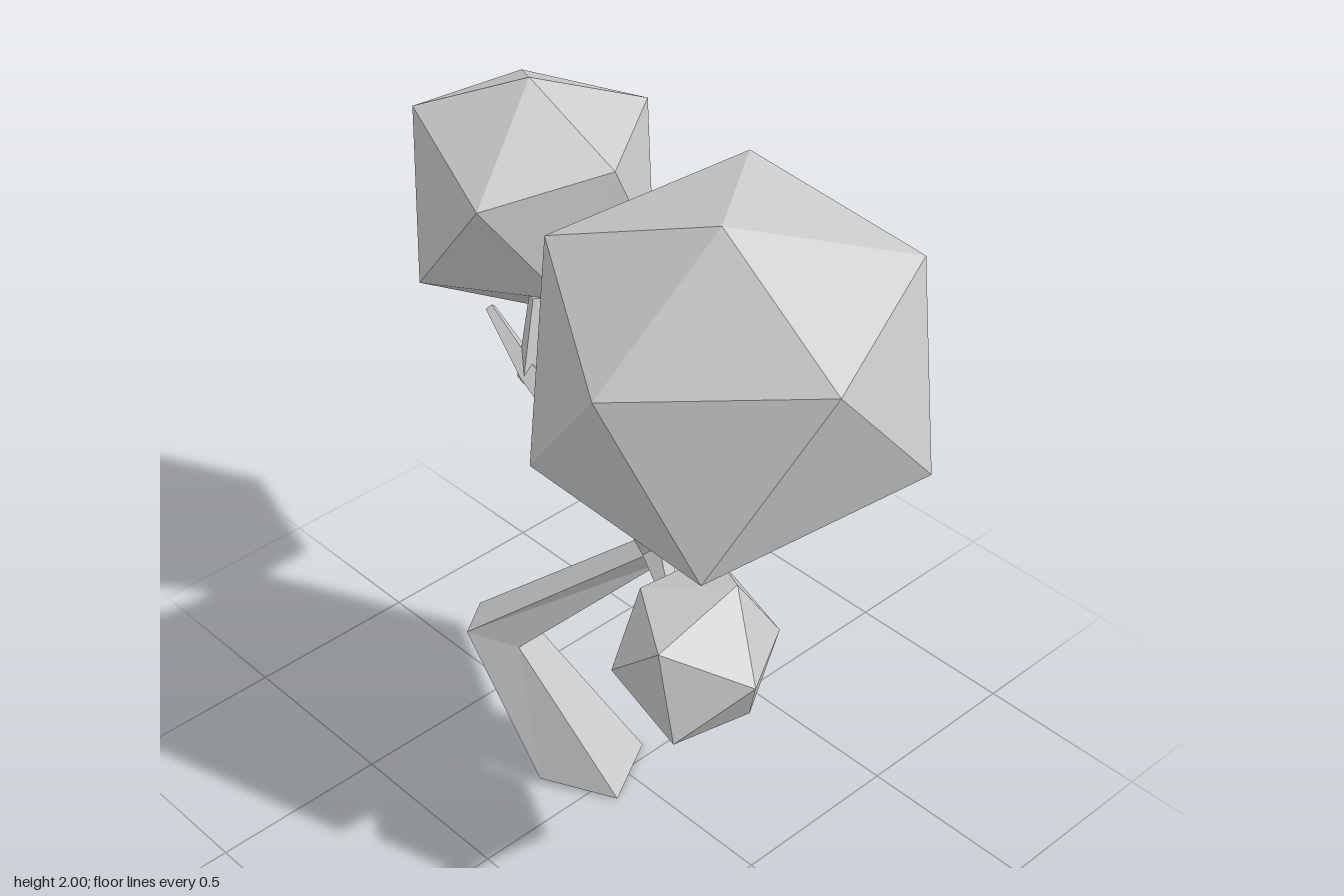
import * as THREE from 'three';
import { ConvexGeometry } from 'three/addons/geometries/ConvexGeometry.js';

const material = new THREE.MeshStandardMaterial({ color: 0xcccccc, flatShading: true });
const V = (x, y, z) => new THREE.Vector3(x, y, z);

// Skin over four-cornered rings, capped at both ends
function loft(rings) {
  const pts = [];
  const quad = (a, b, c, d) => pts.push(a, b, c, a, c, d);
  for (let k = 0; k < rings.length - 1; k++) {
    const lo = rings[k], hi = rings[k + 1];
    for (let i = 0; i < 4; i++) {
      const j = (i + 1) % 4;
      quad(lo[i], lo[j], hi[j], hi[i]);
    }
  }
  const [p, q, r, s] = rings[0];
  quad(s, r, q, p);
  quad(...rings[rings.length - 1]);
  const geometry = new THREE.BufferGeometry().setFromPoints(pts);
  geometry.computeVertexNormals();
  return geometry;
}

// Tapering four-sided branch along [x, y, z, radius] stations
function branch(stations) {
  const centres = stations.map(([x, y, z]) => V(x, y, z));
  return loft(stations.map(([, , , r], i) => {
    const next = centres[Math.min(i + 1, centres.length - 1)];
    const prev = centres[Math.max(i - 1, 0)];
    const t = next.clone().sub(prev).normalize();
    const u = t.clone().cross(V(0, 1, 0)).normalize();
    const w = t.clone().cross(u);
    return [[u, r], [w, r], [u, -r], [w, -r]].map(([d, s]) =>
      centres[i].clone().addScaledVector(d, s));
  }));
}

export function createModel() {
  const tree = new THREE.Group();
  tree.name = 'tree';
  const add = (name, geometry) => {
    const mesh = new THREE.Mesh(geometry, material);
    mesh.name = name;
    tree.add(mesh);
  };

  // Crooked trunk: ground, knee, lower fork, upper fork
  // (corners run front, left, back, right in each ring)
  const trunkRings = [
    [[-0.12, 0.02, 0.206], [0.07, 0, 0.09], [-0.04, 0, -0.11], [-0.23, 0.01, 0.006]],
    [[-0.325, 0.466, 0.275], [-0.204, 0.44, 0.196], [-0.27, 0.44, 0.095], [-0.394, 0.466, 0.17]],
    [[0.1, 0.84, 0.025], [0.125, 0.81, -0.02], [0.077, 0.785, -0.08], [0.047, 0.845, -0.04]],
    [[0.1, 1.09, 0.14], [0.14, 1.065, 0.1], [0.1, 1.07, 0.07], [0.06, 1.11, 0.1]],
  ];
  add('trunk', loft(trunkRings.map((ring) => ring.map((p) => V(...p)))));

  // Branches and twigs
  add('longBranch', branch([[0.1, 1.085, 0.105, 0.038], [-0.29, 1.22, 0.05, 0.034], [-0.47, 1.33, 0.03, 0.014]]));
  add('upperTwig', branch([[-0.3, 1.2, 0.05, 0.035], [-0.32, 1.42, 0, 0.022]]));
  add('mainBranch', branch([[0.09, 1.075, 0.105, 0.038], [0.38, 1.26, 0.02, 0.03]]));
  add('lowBranch', branch([[0.09, 0.84, -0.03, 0.045], [0.33, 0.88, 0.15, 0.012]]));

  // Faceted leaf crowns, each a slightly irregular twenty-sided solid
  const crowns = {
    mainCrown: [
      [0.43, 2, 0.11], [0.85, 1.785, 0.166], [0.835, 1.397, -0.184], [0.665, 1.286, 0.386],
      [0.357, 1.154, -0.005], [0.11, 1.328, 0.405], [-0.07, 1.418, -0.115], [-0.01, 1.835, 0.239],
      [0.13, 1.915, -0.285], [0.388, 1.677, 0.458], [0.368, 1.455, -0.458], [0.667, 1.857, -0.305],
    ],
    rightCrown: [
      [-0.505, 1.91, -0.152], [-0.183, 1.78, -0.143], [-0.24, 1.45, -0.33], [-0.505, 1.24, -0.15],
      [-0.855, 1.48, -0.184], [-0.78, 1.78, 0.005], [-0.355, 1.71, 0.156], [-0.597, 1.4, 0.156],
      [-0.588, 1.515, -0.46], [-0.41, 1.775, -0.468], [-0.754, 1.77, -0.34], [-0.245, 1.43, -0.03],
    ],
    lowCrown: [
      [0.563, 1.1, 0.16], [0.7, 0.905, 0.23], [0.6, 0.705, 0.14], [0.394, 0.65, 0.265],
      [0.278, 0.863, 0.2], [0.357, 1.035, 0.28], [0.542, 1.01, 0.397], [0.59, 0.754, 0.39],
      [0.384, 0.863, 0.4], [0.43, 0.742, 0.03], [0.38, 1.03, 0.053], [0.586, 0.9, 0.03],
    ],
  };
  for (const [name, corners] of Object.entries(crowns)) {
    add(name, new ConvexGeometry(corners.map((p) => V(...p))));
  }
  return tree;
}
